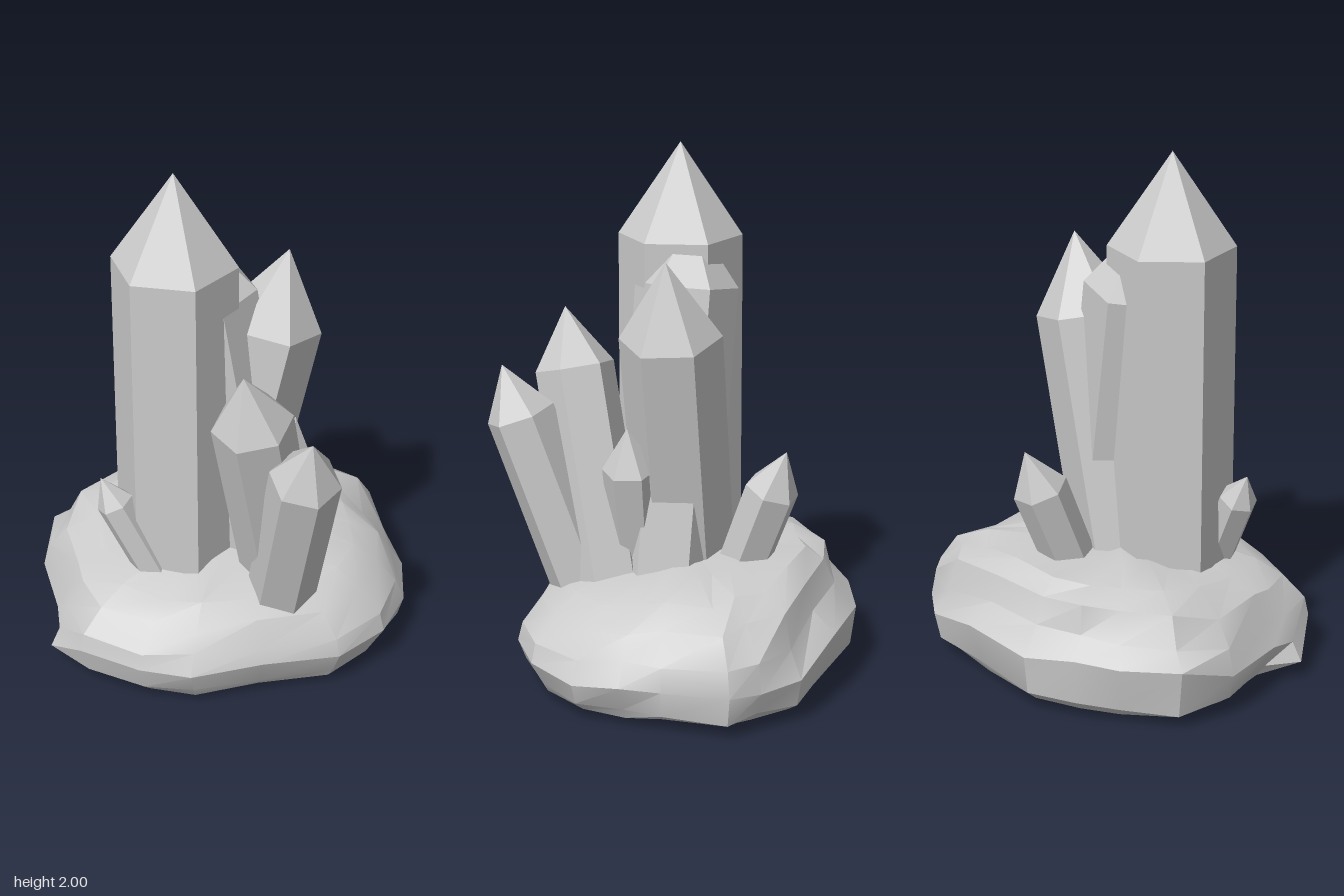
import * as THREE from 'three';
import { toCreasedNormals } from 'three/addons/utils/BufferGeometryUtils.js';

const stone = new THREE.MeshStandardMaterial({ color: 0xcccccc });
stone.name = 'paleGrey';

// Six-sided prism with a pointed tip, running from base to apex
function crystal(name, base, apex, radius, baseRadius, tip, spin = 0) {
  const from = new THREE.Vector3(...base);
  const axis = new THREE.Vector3(...apex).sub(from);
  const length = axis.length();
  const profile = [[0, 0], [baseRadius, 0], [radius, length - tip], [0, length]]
    .map(([r, y]) => new THREE.Vector2(r, y));
  const geometry = new THREE.LatheGeometry(profile, 6).rotateY(spin).toNonIndexed();
  geometry.computeVertexNormals();
  const mesh = new THREE.Mesh(geometry, stone);
  mesh.name = name;
  mesh.position.copy(from);
  mesh.quaternion.setFromUnitVectors(new THREE.Vector3(0, 1, 0), axis.normalize());
  return mesh;
}

// Rough boulder: one outline repeated in rings, scaled and roughened
function rock() {
  const outline = [
    [-0.75, 0.06], [-0.68, 0.25], [-0.5, 0.42], [-0.33, 0.53], [-0.05, 0.55],
    [0.25, 0.585], [0.47, 0.5], [0.63, 0.33], [0.7, 0.15], [0.7, 0.0],
    [0.745, -0.25], [0.68, -0.36], [0.56, -0.5], [0.3, -0.62], [0, -0.7],
    [-0.2, -0.67], [-0.36, -0.62], [-0.57, -0.53], [-0.67, -0.33], [-0.69, -0.05],
  ];
  // scale, height, roughness, slope towards the front, scale of the spur,
  // pull and lift of the ledge along the back
  const rings = [
    [0.9, 0.03, 0.015, 0, 0.89, 0, 0],
    [0.95, 0.07, 0.025, 0, 1, 0, 0],
    [1, 0.17, 0, 0.02, 0.95, 0, 0.06],
    [0.95, 0.26, 0.03, 0.05, 0.9, 0.06, 0.03],
    [0.85, 0.355, 0.03, 0.08, 0.81, 0.02, 0.03],
    [0.7, 0.415, 0.02, 0.1, 0.67, 0, 0.01],
    [0.42, 0.455, 0.02, 0.1, 0.42, 0, 0],
  ];
  let seed = 11;
  const rough = () => {
    seed = (seed * 16807) % 2147483647;
    return (seed / 2147483647) * 2 - 1;
  };
  const n = outline.length;
  const position = [];
  const index = [];
  rings.forEach(([scale, height, amount, slope, spur, pull, lift], k) => {
    outline.forEach(([x, z], i) => {
      const back = z < -0.5 ? 1 : 0;
      const s = i === 0 ? spur : scale - back * pull + rough() * amount;
      const wobble = k > 0 ? rough() * 0.015 : 0;
      position.push(x * s, height + back * lift - slope * z * s + wobble, z * s);
      if (k === 0) return;
      const j = (i + 1) % n;
      const a = (k - 1) * n + i, b = (k - 1) * n + j;
      index.push(a, b, b + n, a, b + n, a + n);
    });
  });
  const bottom = position.length / 3;
  position.push(0, 0, -0.05, 0, 0.47, -0.05);
  const last = (rings.length - 1) * n;
  for (let i = 0; i < n; i++) {
    const j = (i + 1) % n;
    index.push(j, i, bottom, last + i, last + j, bottom + 1);
  }
  const geometry = new THREE.BufferGeometry();
  geometry.setAttribute('position', new THREE.Float32BufferAttribute(position, 3));
  geometry.setIndex(index);
  const mesh = new THREE.Mesh(toCreasedNormals(geometry, 0.45), stone);
  mesh.name = 'rockBase';
  return mesh;
}

export function createModel() {
  const model = new THREE.Group();
  model.name = 'crystalCluster';
  model.add(rock());

  // Tall crystals
  model.add(
    crystal('mainCrystal', [-0.2, 0.3, 0], [-0.2, 2, 0], 0.236, 0.24, 0.35),
    crystal('leaningCrystal', [-0.03, 0.35, -0.04], [0.235, 1.635, 0.02], 0.192, 0.188, 0.3),
    crystal('crossingCrystal', [0.1, 0.35, 0.035], [-0.11, 1.74, -0.05], 0.195, 0.19, 0.26),
    crystal('frontCrystal', [0.14, 0.33, 0.24], [-0.09, 1.385, 0.43], 0.152, 0.15, 0.23, 0.3),
    crystal('outerFrontCrystal', [0.1, 0.3, 0.33], [0.09, 1.2, 0.647], 0.133, 0.133, 0.2),
  );

  // Small crystals
  model.add(
    crystal('sideCrystal', [0.09, 0.36, 0.14], [0.215, 1, 0.165], 0.105, 0.09, 0.17),
    crystal('smallLeaningCrystal', [-0.3, 0.3, 0.13], [-0.515, 0.8, 0.03], 0.073, 0.07, 0.12, 0.2),
    crystal('backCrystal', [0.07, 0.36, -0.24], [0.17, 0.91, -0.425], 0.105, 0.1, 0.17, 0.25),
  );
  return model;
}
